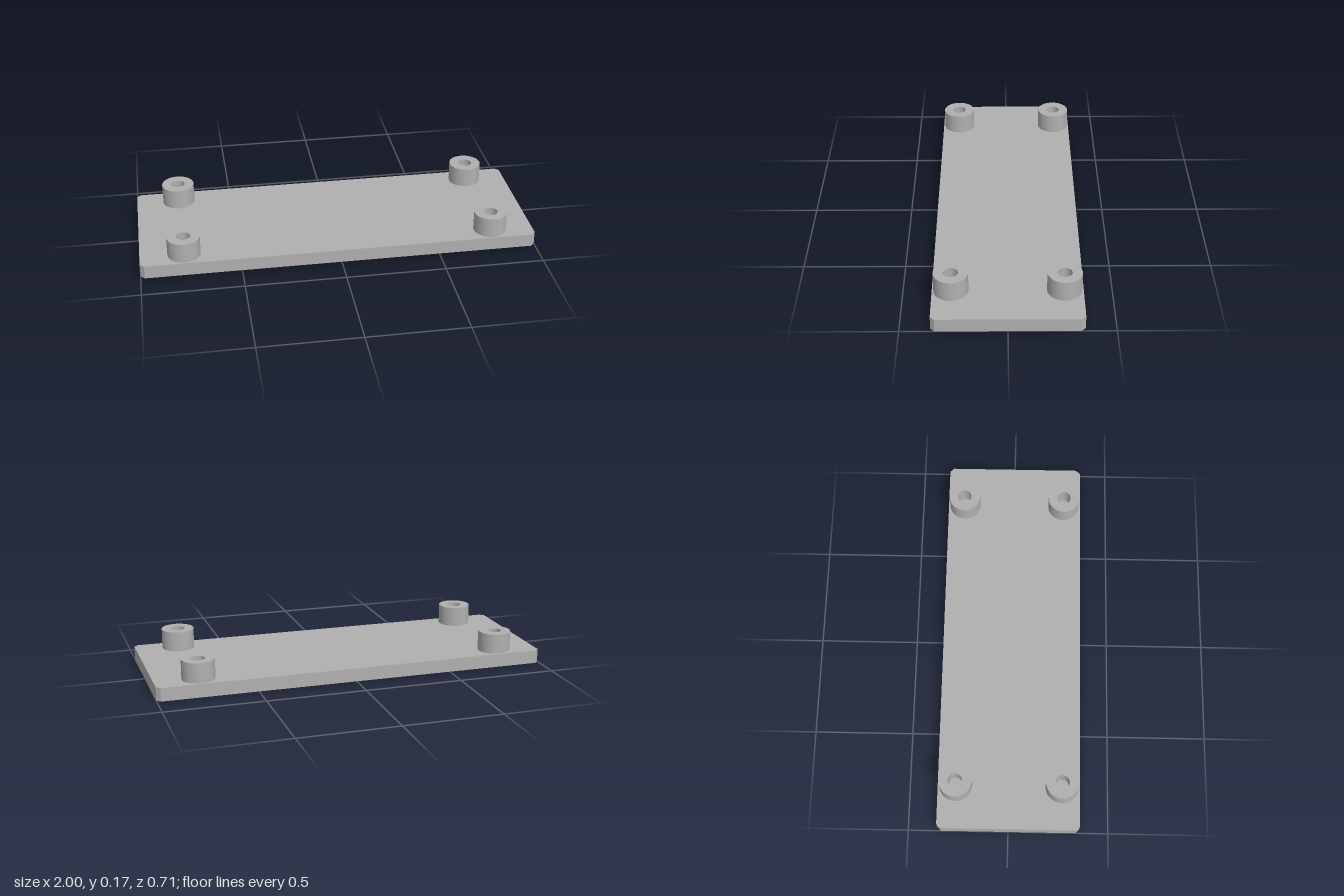
import * as THREE from 'three';
import { toCreasedNormals } from 'three/addons/utils/BufferGeometryUtils.js';

const HALF_X = 1, HALF_Z = 0.357, CHAMFER = 0.02;
const PLATE_H = 0.068, BOSS_H = 0.102;
const BOSS_X = 0.78, BOSS_Z = 0.267, BOSS_R = 0.0825, HOLE_R = 0.036;

// Points of a regular ring, counter-clockwise
function ring(radius, sides) {
  return Array.from({ length: sides }, (_, i) => {
    const a = (i / sides) * Math.PI * 2;
    return new THREE.Vector2(radius * Math.cos(a), radius * Math.sin(a));
  });
}

// Extrude a flat outline upwards from y = 0
function extrudeUp(shape, height) {
  const geo = new THREE.ExtrudeGeometry(shape, { depth: height, bevelEnabled: false });
  geo.rotateX(-Math.PI / 2);
  return geo;
}

export function createModel() {
  const group = new THREE.Group();
  group.name = 'mountingPlate';
  const grey = new THREE.MeshStandardMaterial({ color: 0xb0b0b0 });
  grey.name = 'plain grey';

  // Base plate with clipped corners
  const x = HALF_X, z = HALF_Z, c = CHAMFER;
  const outline = new THREE.Shape([
    [x, c - z], [x, z - c], [x - c, z], [c - x, z],
    [-x, z - c], [-x, c - z], [c - x, -z], [x - c, -z],
  ].map(([px, py]) => new THREE.Vector2(px, py)));
  const plate = new THREE.Mesh(extrudeUp(outline, PLATE_H), grey);
  plate.name = 'basePlate';
  group.add(plate);

  // Four hollow bosses, one near each corner
  const bossShape = new THREE.Shape(ring(BOSS_R, 48));
  bossShape.holes.push(new THREE.Path(ring(HOLE_R, 12).reverse()));
  const bossGeo = toCreasedNormals(extrudeUp(bossShape, BOSS_H), Math.PI / 4);
  for (const sx of [-1, 1]) {
    for (const sz of [-1, 1]) {
      const boss = new THREE.Mesh(bossGeo, grey);
      boss.name = `${sz > 0 ? 'front' : 'back'}${sx > 0 ? 'Left' : 'Right'}Boss`;
      boss.position.set(sx * BOSS_X, PLATE_H, sz * BOSS_Z);
      group.add(boss);
    }
  }
  return group;
}
